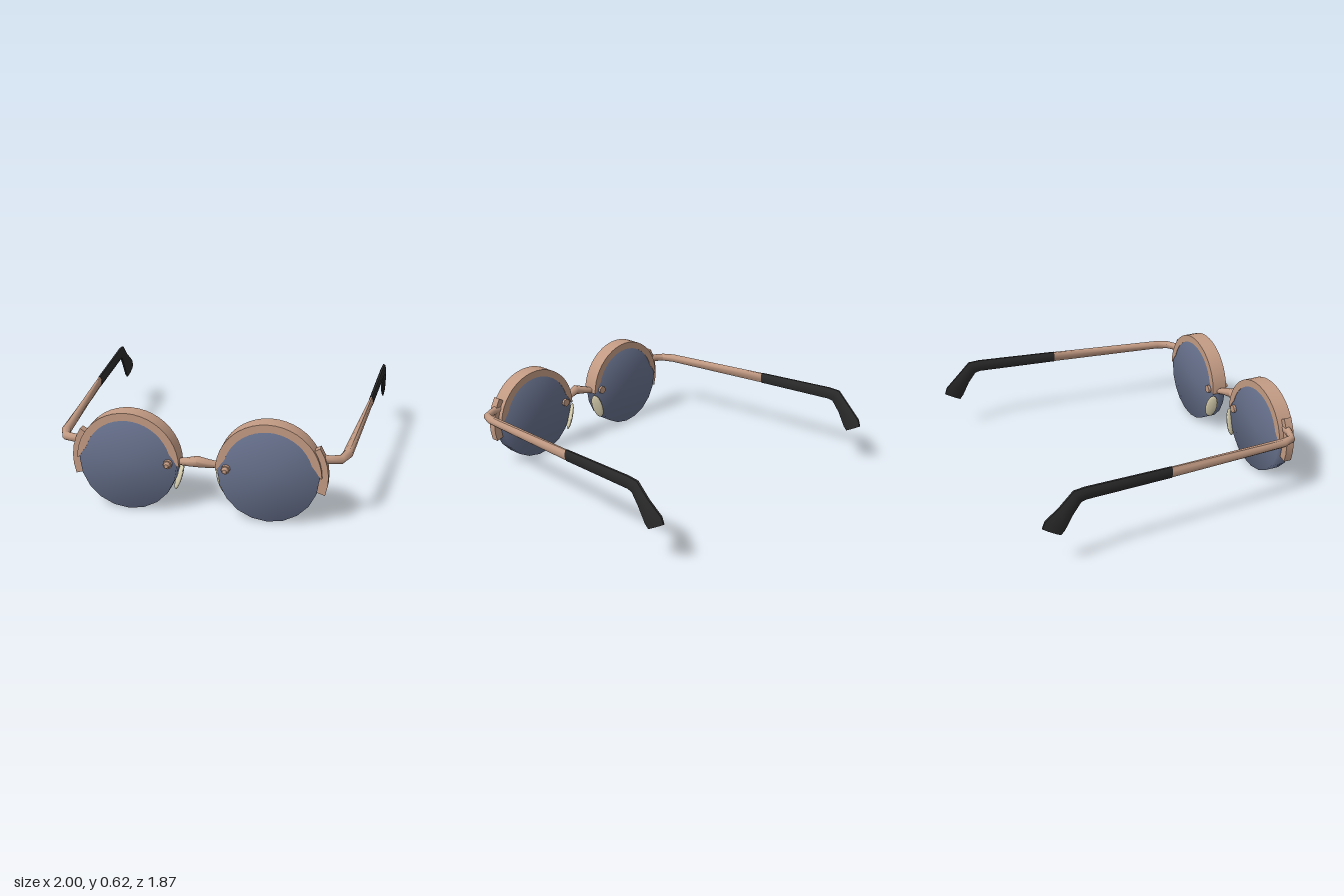
import * as THREE from 'three';
import { mergeVertices, mergeGeometries, toCreasedNormals } from 'three/addons/utils/BufferGeometryUtils.js';

const mat = (name, color) => {
  const m = new THREE.MeshStandardMaterial({ color });
  m.name = name;
  return m;
};

const CX = 0.43, CY = 0.308; // lens centre

// Reflects a geometry across x = 0, keeping faces outward
function mirrored(geo) {
  const g = mergeVertices(geo).scale(-1, 1, 1);
  const ix = g.index.array;
  for (let i = 0; i < ix.length; i += 3) [ix[i], ix[i + 1]] = [ix[i + 1], ix[i]];
  return g;
}

// Smooth tube with elliptical sections; each station is [x, y, z, halfWidth, halfHeight]
function loft(stations, sides = 8) {
  const pts = stations.map(s => new THREE.Vector3(s[0], s[1], s[2]));
  const pos = [], index = [], up = new THREE.Vector3(0, 1, 0);
  const n = stations.length;
  stations.forEach((s, i) => {
    const t = new THREE.Vector3();
    if (i > 0) t.add(pts[i].clone().sub(pts[i - 1]).normalize());
    if (i < n - 1) t.add(pts[i + 1].clone().sub(pts[i]).normalize());
    t.normalize();
    const u = new THREE.Vector3().crossVectors(up, t).normalize();
    const v = new THREE.Vector3().crossVectors(t, u);
    for (let k = 0; k < sides; k++) {
      const a = (k + 0.5) / sides * Math.PI * 2;
      const p = pts[i].clone().addScaledVector(u, Math.cos(a) * s[3]).addScaledVector(v, Math.sin(a) * s[4]);
      pos.push(p.x, p.y, p.z);
    }
  });
  for (let i = 0; i < n - 1; i++) {
    for (let k = 0; k < sides; k++) {
      const a = i * sides + k, b = i * sides + (k + 1) % sides;
      index.push(a, b, b + sides, a, b + sides, a + sides);
    }
  }
  const last = (n - 1) * sides;
  for (let k = 1; k < sides - 1; k++) {
    index.push(0, k + 1, k, last, last + k, last + k + 1);
  }
  const g = new THREE.BufferGeometry();
  g.setAttribute('position', new THREE.Float32BufferAttribute(pos, 3));
  g.setIndex(index);
  g.computeVertexNormals();
  return toCreasedNormals(g, 1.0);
}

// Flat arc band around the lens centre, extruded from z0 to z1
function arcBand(a0, a1, outer, inner, z0, z1, segs) {
  const shape = new THREE.Shape();
  const at = (r, a) => [CX + r * Math.cos(a), CY + r * Math.sin(a)];
  for (let i = 0; i <= segs; i++) {
    const p = at(outer, a0 + (a1 - a0) * i / segs);
    if (i === 0) shape.moveTo(...p); else shape.lineTo(...p);
  }
  for (let i = segs; i >= 0; i--) {
    const f = i / segs;
    shape.lineTo(...at(inner(f), a0 + (a1 - a0) * f));
  }
  const g = new THREE.ExtrudeGeometry(shape, { depth: z1 - z0, bevelEnabled: false });
  g.translate(0, 0, z0);
  return toCreasedNormals(g, 0.6);
}

// Thick round lens with soft edge shading
function lensGeometry() {
  let g = new THREE.CylinderGeometry(0.305, 0.305, 0.1, 20, 1).rotateX(Math.PI / 2);
  g.deleteAttribute('uv');
  g.deleteAttribute('normal');
  g = mergeVertices(g);
  g.computeVertexNormals();
  return g.translate(CX, CY, 0.848);
}

// Screw running through the lens: front collar, pointed head and rear nut
function screwGeometry() {
  const disc = (r0, r1, h, z) => new THREE.CylinderGeometry(r0, r1, h, 8).rotateX(Math.PI / 2).translate(0.177, 0.325, z);
  return mergeGeometries([
    disc(0.028, 0.028, 0.026, 0.908),
    disc(0.013, 0.022, 0.024, 0.932),
    disc(0.028, 0.028, 0.026, 0.794),
  ]);
}

function padGeometry() {
  const g = new THREE.SphereGeometry(1, 10, 8).scale(0.015, 0.097, 0.042);
  return g.rotateY(-0.45).rotateZ(0.3).translate(0.135, 0.205, 0.798);
}

export function createModel() {
  const copper = mat('copper metal', 0xc29a83);
  const glass = mat('blue grey lens', 0x656f8a);
  const black = mat('black plastic', 0x2b2b2c);
  const cream = mat('cream pad', 0xd9d0b0);

  const model = new THREE.Group();
  model.name = 'spectacles';

  const add = (name, geo, material) => {
    const mesh = new THREE.Mesh(geo, material);
    mesh.name = name;
    model.add(mesh);
  };
  const addPair = (name, geo, material) => {
    add(name + 'Left', geo, material);
    add(name + 'Right', mirrored(geo), material);
  };

  addPair('lens', lensGeometry(), glass);

  // Brow rim over the upper half of each lens, tapering at its ends
  const rimInner = f => 0.314 - 0.043 * Math.min(1, 0.08 + f * 11, 0.08 + (1 - f) * 11);
  addPair('browRim', arcBand(0.02, Math.PI, 0.319, rimInner, 0.795, 0.901, 22), copper);

  // Curved end piece hugging the outer edge
  addPair('endPiece', arcBand(-0.31, 0.56, 0.355, () => 0.3, 0.827, 0.88, 5), copper);

  // Temple arm with elbow at the hinge
  addPair('templeArm', loft([
    [0.72, 0.42, 0.85, 0.03, 0.032],
    [0.785, 0.415, 0.838, 0.022, 0.026],
    [0.85, 0.41, 0.808, 0.026, 0.027],
    [0.878, 0.414, 0.73, 0.031, 0.028],
    [0.944, 0.44, -0.1, 0.014, 0.037],
  ]), copper);

  // Black sleeve with drop tip behind the ear
  addPair('templeTip', loft([
    [0.944, 0.44, -0.095, 0.016, 0.039],
    [0.978, 0.459, -0.66, 0.017, 0.043],
    [0.981, 0.452, -0.715, 0.018, 0.05],
    [0.983, 0.375, -0.785, 0.017, 0.055],
    [0.978, 0.29, -0.855, 0.016, 0.076],
    [0.976, 0.255, -0.875, 0.012, 0.068],
  ]), black);

  addPair('screw', screwGeometry(), copper);
  addPair('nosePad', padGeometry(), cream);

  // Arched bridge between the lenses
  add('bridge', loft([
    [-0.19, 0.322, 0.86, 0.018, 0.018],
    [-0.125, 0.322, 0.846, 0.024, 0.02],
    [-0.065, 0.336, 0.87, 0.03, 0.026],
    [0, 0.35, 0.885, 0.034, 0.034],
    [0.065, 0.336, 0.87, 0.03, 0.026],
    [0.125, 0.322, 0.846, 0.024, 0.02],
    [0.19, 0.322, 0.86, 0.018, 0.018],
  ]), copper);

  return model;
}
